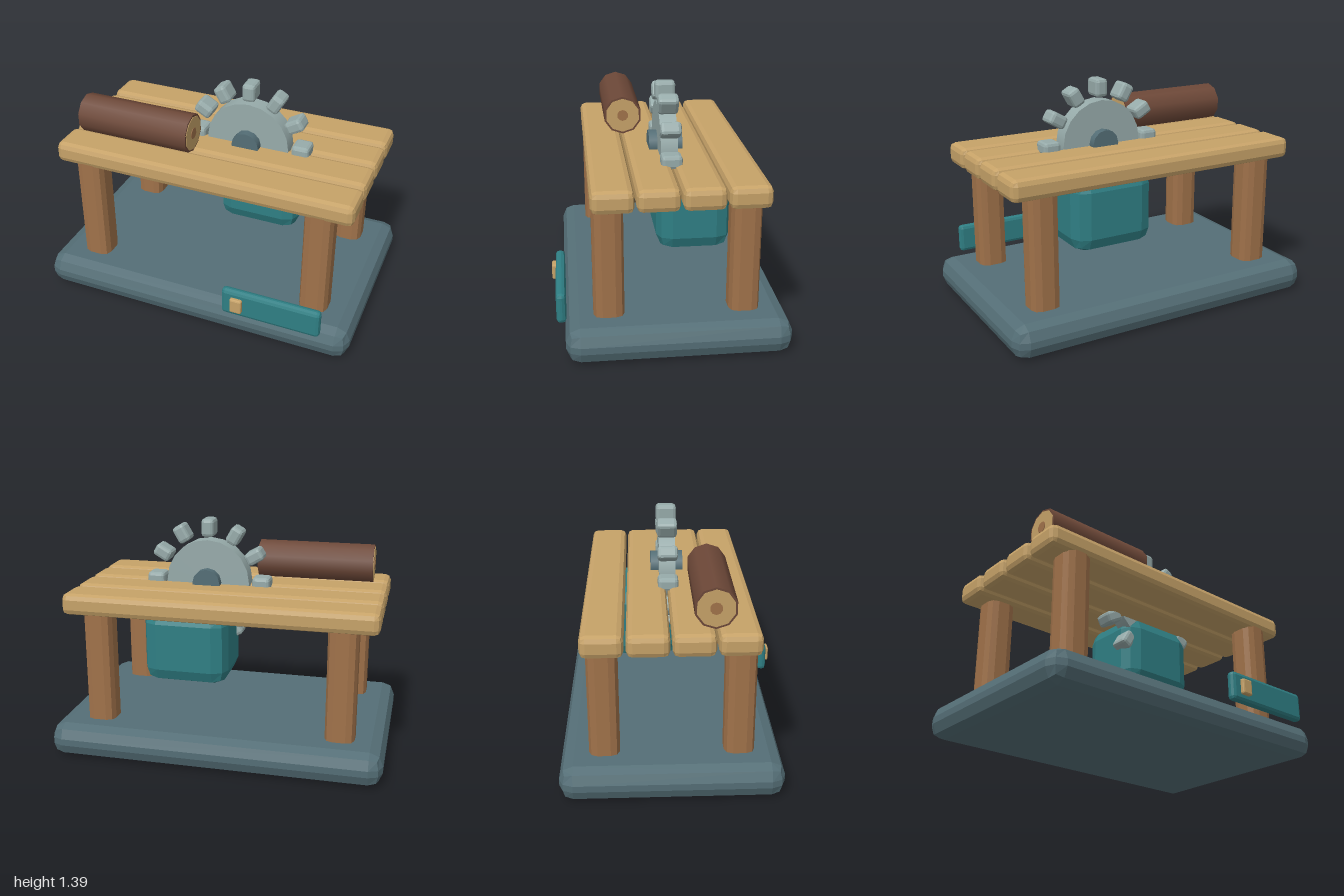
import * as THREE from 'three';
import { RoundedBoxGeometry } from 'three/addons/geometries/RoundedBoxGeometry.js';

const paint = (name, color) => {
  const m = new THREE.MeshStandardMaterial({ color });
  m.name = name;
  return m;
};

export function createModel() {
  const slate = paint('slate', 0x546e76);
  const teal = paint('teal', 0x2f7f84);
  const plankWood = paint('plankWood', 0xc6a268);
  const legWood = paint('legWood', 0xa0724a);
  const bark = paint('bark', 0x6d4838);
  const steel = paint('steel', 0x97abaa);

  const model = new THREE.Group();
  model.name = 'tableSaw';

  const add = (name, geometry, material, x, y, z, parent = model) => {
    const mesh = new THREE.Mesh(geometry, material);
    mesh.name = name;
    mesh.position.set(x, y, z);
    parent.add(mesh);
    return mesh;
  };

  // Box with a two-step bevel and faceted normals
  const bevelBox = (w, h, d, r) => {
    const g = new RoundedBoxGeometry(w, h, d, 1, r);
    g.computeVertexNormals();
    return g;
  };

  // Cylinder lying along z
  const discZ = (r, depth, sides) => new THREE.CylinderGeometry(r, r, depth, sides).rotateX(Math.PI / 2);

  // Cylinder lying along x with a corner pointing up
  const rodX = (r, length, sides) =>
    new THREE.CylinderGeometry(r, r, length, sides, 1, false, Math.PI / 2).rotateZ(Math.PI / 2);

  // Base slab
  add('base', bevelBox(2, 0.2, 1.27, 0.08), slate, 0, 0.1, -0.035);

  // Four legs
  for (const x of [-0.735, 0.73])
    for (const z of [0.352, -0.418])
      add('leg', bevelBox(0.175, 0.82, 0.175, 0.05), legWood, x, 0.53, z);

  // Table top planks
  for (const z of [0.33, 0.084, -0.163, -0.411])
    add('plank', bevelBox(1.875, 0.13, 0.235, 0.035), plankWood, -0.002, 0.925, z);

  // Motor housing under the table
  add('motor', bevelBox(0.52, 0.465, 0.44, 0.09), teal, 0.225, 0.6575, -0.175);

  // Saw blade: disc, hub and a ring of teeth
  const saw = new THREE.Group();
  saw.name = 'sawBlade';
  saw.position.set(0.15, 1.002, -0.033);
  model.add(saw);
  add('bladeDisc', discZ(0.26, 0.1, 20), steel, 0, 0, 0, saw);
  add('bladeHub', discZ(0.086, 0.2, 12), slate, 0, 0, 0, saw);
  const toothGeometry = bevelBox(0.08, 0.11, 0.122, 0.02);
  for (let i = 0; i < 12; i++) {
    const a = (i * Math.PI) / 6;
    const tooth = add('tooth', toothGeometry, steel, -0.333 * Math.sin(a), 0.333 * Math.cos(a), 0, saw);
    tooth.rotation.z = a;
  }

  // Log with cut faces and heartwood at both ends
  const log = new THREE.Group();
  log.name = 'log';
  log.position.set(-0.485, 1.106, 0.199);
  model.add(log);
  add('logBark', rodX(0.119, 0.714, 10), bark, 0, 0, 0, log);
  for (const side of [-1, 1]) {
    add('cutFace', rodX(0.107, 0.006, 10), plankWood, side * 0.357, 0, 0, log);
    add('heartwood', rodX(0.035, 0.006, 10), legWood, side * 0.36, 0, 0, log);
  }

  // Control panel and its switch on the front edge
  add('controlPanel', bevelBox(0.608, 0.178, 0.055, 0.022), teal, 0.538, 0.279, 0.619);
  add('switch', bevelBox(0.075, 0.096, 0.04, 0.01), plankWood, 0.333, 0.279, 0.651);

  return model;
}
